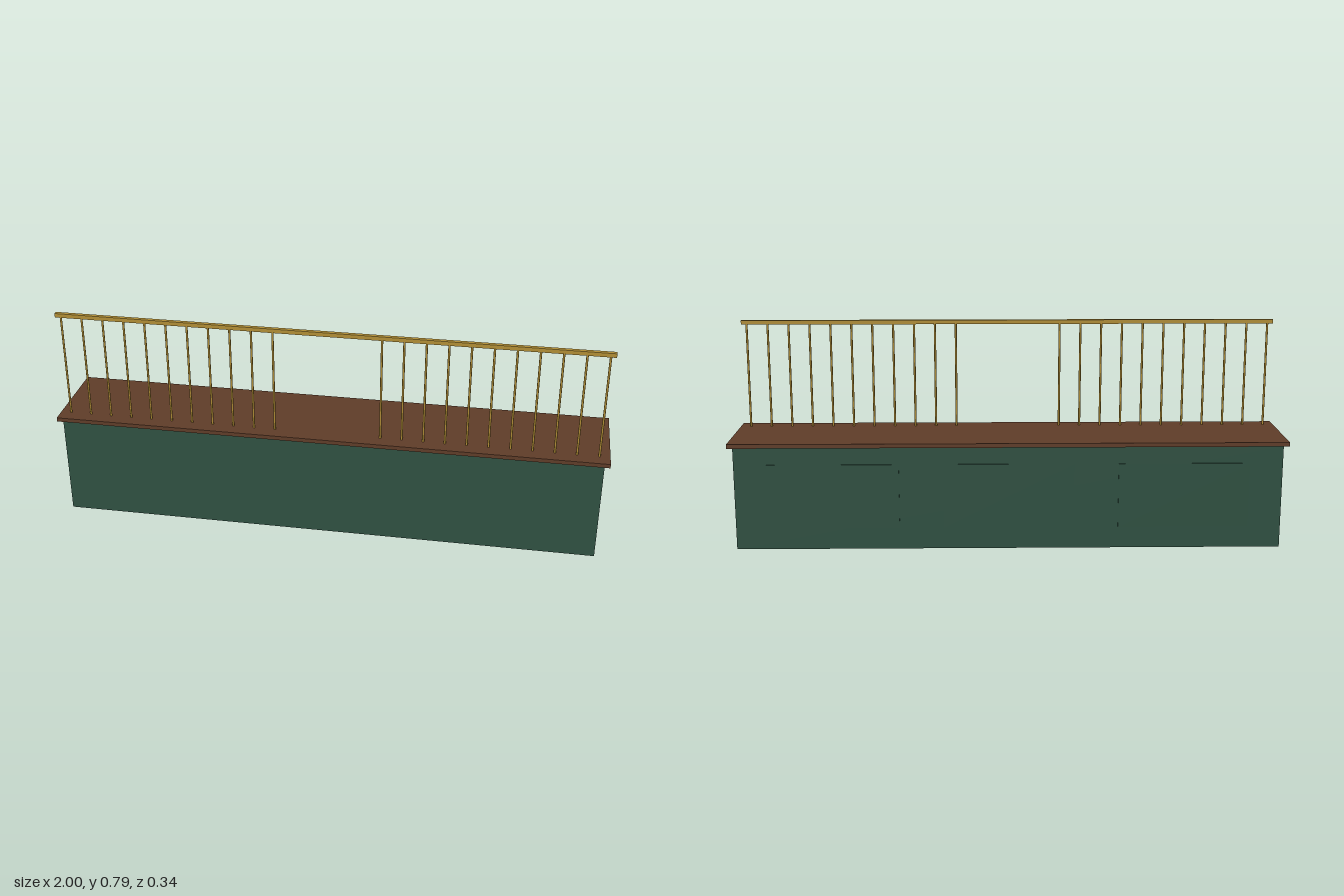
import * as THREE from 'three';

export function createModel() {
  const green = new THREE.MeshStandardMaterial({ name: 'green paint', color: 0x2f5041 });
  const wood = new THREE.MeshStandardMaterial({ name: 'brown wood', color: 0x5f3c28 });
  const brass = new THREE.MeshStandardMaterial({ name: 'brass', color: 0xb08d35 });

  const group = new THREE.Group();
  group.name = 'serviceCounter';

  const add = (name, geometry, material, x, y, z) => {
    const mesh = new THREE.Mesh(geometry, material);
    mesh.name = name;
    mesh.position.set(x, y, z);
    group.add(mesh);
  };
  const box = (name, material, w, h, d, x, y, z) =>
    add(name, new THREE.BoxGeometry(w, h, d), material, x, y, z);

  // Counter body and overhanging top
  box('counterBody', green, 1.962, 0.377, 0.314, 0, 0.1885, 0);
  box('counterTop', wood, 2, 0.015, 0.338, 0, 0.3845, 0);

  // Thin raised panels on the back
  for (const x of [-0.628, 0, 0.628]) {
    box('backPanel', green, 0.47, 0.236, 0.004, x, 0.196, -0.158);
  }

  // Grille: top rail, and bars with a gap in the middle for serving
  const railZ = 0.118;
  box('topRail', brass, 1.962, 0.015, 0.015, 0, 0.7845, railZ);
  const barGeometry = new THREE.CylinderGeometry(0.004, 0.004, 0.39, 8);
  for (const side of [-1, 1]) {
    for (let i = 0; i < 11; i++) {
      add('grilleBar', barGeometry, brass, side * (0.192 + i * 0.077), 0.584, railZ);
    }
  }
  return group;
}
